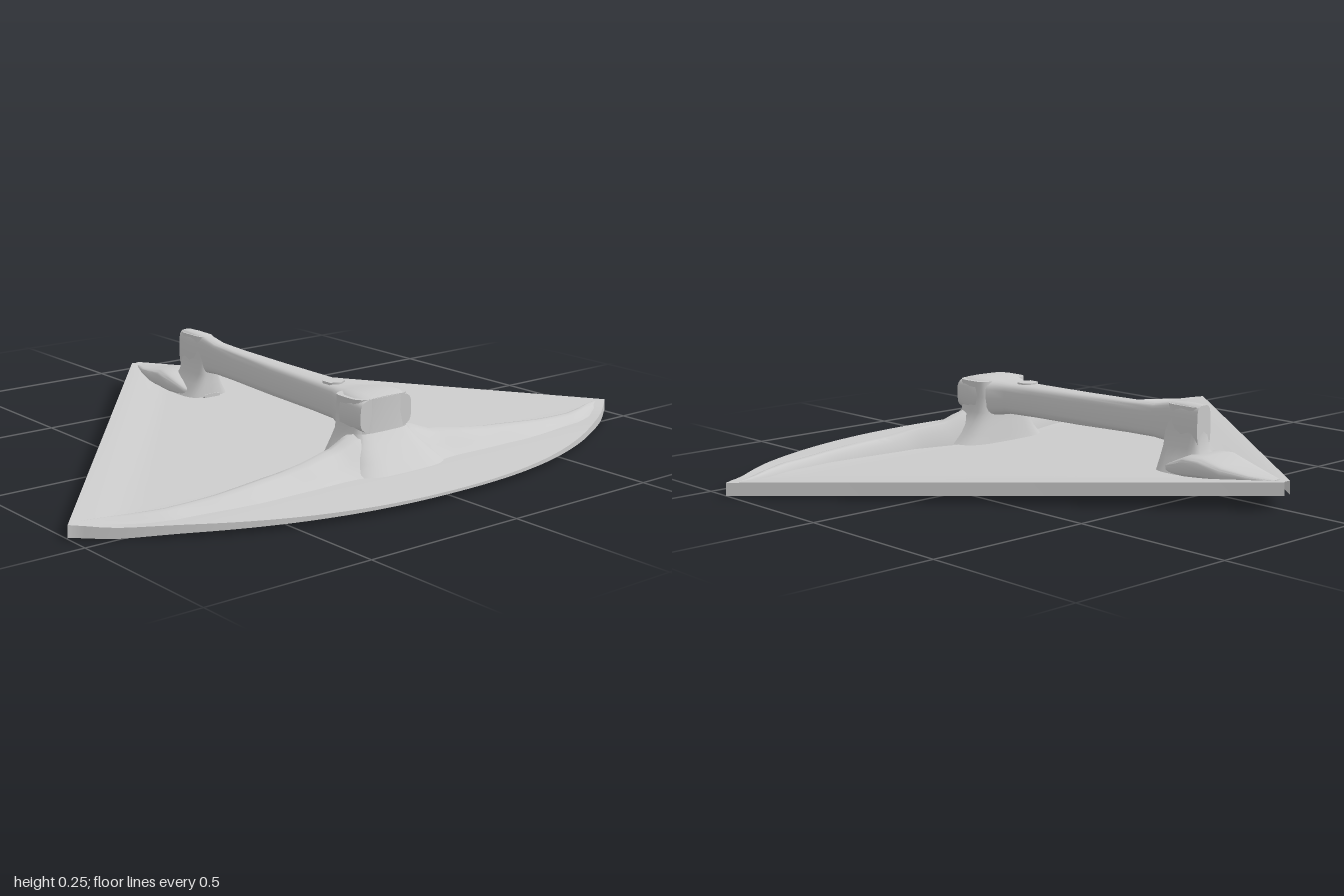
import * as THREE from 'three';
import { toCreasedNormals } from 'three/addons/utils/BufferGeometryUtils.js';

const material = new THREE.MeshStandardMaterial({ color: 0xcccccc, side: THREE.DoubleSide });
const { lerp, smoothstep } = THREE.MathUtils;

// Skin rows of points; closed rows wrap around and get end caps.
function loft(name, rows, closed = true, crease = 0.7) {
  const n = rows[0].length;
  const points = rows.flat();
  const index = [];
  for (let i = 0; i < rows.length - 1; i++) {
    for (let j = 0; j < (closed ? n : n - 1); j++) {
      const k = (j + 1) % n;
      const a = i * n + j, b = i * n + k, c = a + n, d = b + n;
      index.push(a, c, b, b, c, d);
    }
  }
  if (closed) {
    const last = (rows.length - 1) * n;
    for (let j = 1; j < n - 1; j++) {
      index.push(0, j, j + 1, last, last + j + 1, last + j);
    }
  }
  const geometry = new THREE.BufferGeometry();
  geometry.setAttribute('position', new THREE.Float32BufferAttribute(points.flat(), 3));
  geometry.setIndex(index);
  const mesh = new THREE.Mesh(toCreasedNormals(geometry, crease), material);
  mesh.name = name;
  return mesh;
}

// Rounded-rectangle outline as pairs in -1..1
const outline = Array.from({ length: 24 }, (_, i) => {
  const a = (i / 24) * Math.PI * 2;
  const soft = (v) => Math.sign(v) * Math.abs(v) ** 0.5;
  return [soft(Math.cos(a)), soft(Math.sin(a))];
});

// Upright post from [y, halfWidth, zBack, zFront] levels
const post = (name, levels) => loft(name, levels.map(([y, w, z0, z1]) =>
  outline.map(([p, q]) => [p * w, y, (z0 + z1) / 2 + q * (z1 - z0) / 2])));

// Lengthwise bar from [z, halfWidth, yBottom, yTop] stations, front to back
const bar = (name, stations) => loft(name, stations.map(([z, w, y0, y1]) =>
  outline.map(([p, q]) => [p * w, (y0 + y1) / 2 + q * (y1 - y0) / 2, z])));

// Linear lookup in a short table of [key, value]
function sample(table, x) {
  let i = 0;
  while (i < table.length - 2 && x > table[i + 1][0]) i++;
  const [[x0, v0], [x1, v1]] = [table[i], table[i + 1]];
  return lerp(v0, v1, smoothstep(x, x0, x1) * 0.3 + 0.7 * Math.min(1, Math.max(0, (x - x0) / (x1 - x0))));
}

// Height of the rolled rim at depth z
const rimHeight = (z) => (z < 0.42 ? 0.058 - 0.035 * z : 0.043 - 0.035 * (z - 0.42));

// Fan-shaped plate with a gently sunken face and a turned-down edge
function plate() {
  const rows = [];
  const U = 60, V = 40;
  const frontZ = (s) => 0.78 - 0.36 * Math.abs(s) ** 2.2;
  for (let i = 0; i <= V; i++) {
    const v = lerp(0.012, 1, i / V);
    const row = [];
    for (let j = 0; j <= U; j++) {
      const s = (j / U) * 2 - 1;
      const z = lerp(-0.8, frontZ(s), v);
      const sink = 0.013 * smoothstep((1 - Math.abs(s)) * v, 0, 0.13) * (1 - smoothstep(z, 0.4, 0.6));
      row.push([s * v, rimHeight(z) - sink, z]);
    }
    const lip = ([x, y, z]) => [x * 1.002, y - 0.038, z];
    rows.push([lip(row[0]), ...row, lip(row[U])]);
  }
  // Front lip, deepest toward the corners
  rows.push(rows[V].map(([x, y, z], j) => {
    const drop = j === 0 || j === U + 2 ? 0 : lerp(0.008, 0.034, Math.abs(x) ** 2);
    return [x, y - drop, z];
  }));
  return loft('fanPlate', rows, false);
}

// Curved brace across the plate, highest beside the handle
function brace() {
  const crest = [[0, 0.135], [0.1, 0.13], [0.18, 0.102], [0.4, 0.077], [0.7, 0.055], [0.96, 0.043]];
  const back = [[0, 0.38], [0.12, 0.41], [0.3, 0.455], [0.6, 0.475], [0.75, 0.465], [0.96, 0.405]];
  const front = [[0, 0.6], [0.2, 0.575], [0.5, 0.585], [0.75, 0.55], [0.96, 0.43]];
  const rows = [];
  for (let i = 0; i <= 64; i++) {
    const x = 0.96 - 1.92 * (i / 64);
    const a = Math.abs(x);
    const top = sample(crest, a), zb = sample(back, a), zf = sample(front, a);
    const base = rimHeight(zb) - 0.016, foot = rimHeight(zf) - 0.006;
    rows.push([
      [0, base], [0.06, lerp(base, top, 0.65)], [0.17, lerp(base, top, 0.95)],
      [0.3, top], [0.45, lerp(foot, top, 0.88)], [0.65, lerp(foot, top, 0.45)],
      [0.85, lerp(foot, top, 0.14)], [1, foot],
    ].map(([t, y]) => [x, y, lerp(zb, zf, t)]));
  }
  return loft('frontBrace', rows, false);
}

export function createModel() {
  const model = new THREE.Group();
  model.name = 'fanTool';
  model.add(plate(), brace());

  const handle = new THREE.Group();
  handle.name = 'handle';
  handle.add(
    bar('grip', [
      [0.488, 0.095, 0.13, 0.23], [0.45, 0.1, 0.125, 0.237], [0.4, 0.097, 0.12, 0.237],
      [0.36, 0.078, 0.118, 0.231], [0.31, 0.054, 0.127, 0.226], [0.2, 0.047, 0.13, 0.227],
      [0, 0.039, 0.133, 0.23], [-0.2, 0.031, 0.139, 0.235], [-0.3, 0.027, 0.14, 0.24],
      [-0.36, 0.027, 0.135, 0.252], [-0.42, 0.032, 0.13, 0.256], [-0.48, 0.028, 0.135, 0.255],
    ]),
    post('frontPost', [
      [0.035, 0.17, 0.34, 0.6], [0.065, 0.14, 0.345, 0.565], [0.1, 0.115, 0.35, 0.52],
      [0.13, 0.098, 0.355, 0.492], [0.18, 0.095, 0.355, 0.49], [0.228, 0.097, 0.36, 0.49],
    ]),
    post('rearPost', [
      [0.06, 0.075, -0.54, -0.34], [0.1, 0.05, -0.5, -0.342], [0.13, 0.037, -0.485, -0.345],
      [0.18, 0.03, -0.48, -0.345], [0.25, 0.028, -0.48, -0.36],
    ]),
    // Long tapered foot running to the point of the fan
    bar('rearFoot', [
      [-0.34, 0.03, 0.055, 0.068], [-0.4, 0.07, 0.055, 0.088], [-0.47, 0.088, 0.055, 0.118],
      [-0.53, 0.085, 0.06, 0.122], [-0.6, 0.07, 0.06, 0.106], [-0.68, 0.045, 0.065, 0.092],
      [-0.75, 0.015, 0.07, 0.085],
    ]),
  );

  // Small six-sided stud on the grip
  const stud = new THREE.Mesh(new THREE.CylinderGeometry(0.033, 0.033, 0.02, 6), material);
  stud.name = 'gripStud';
  stud.position.set(-0.005, 0.221, 0.265);
  handle.add(stud);

  model.add(handle);
  return model;
}
